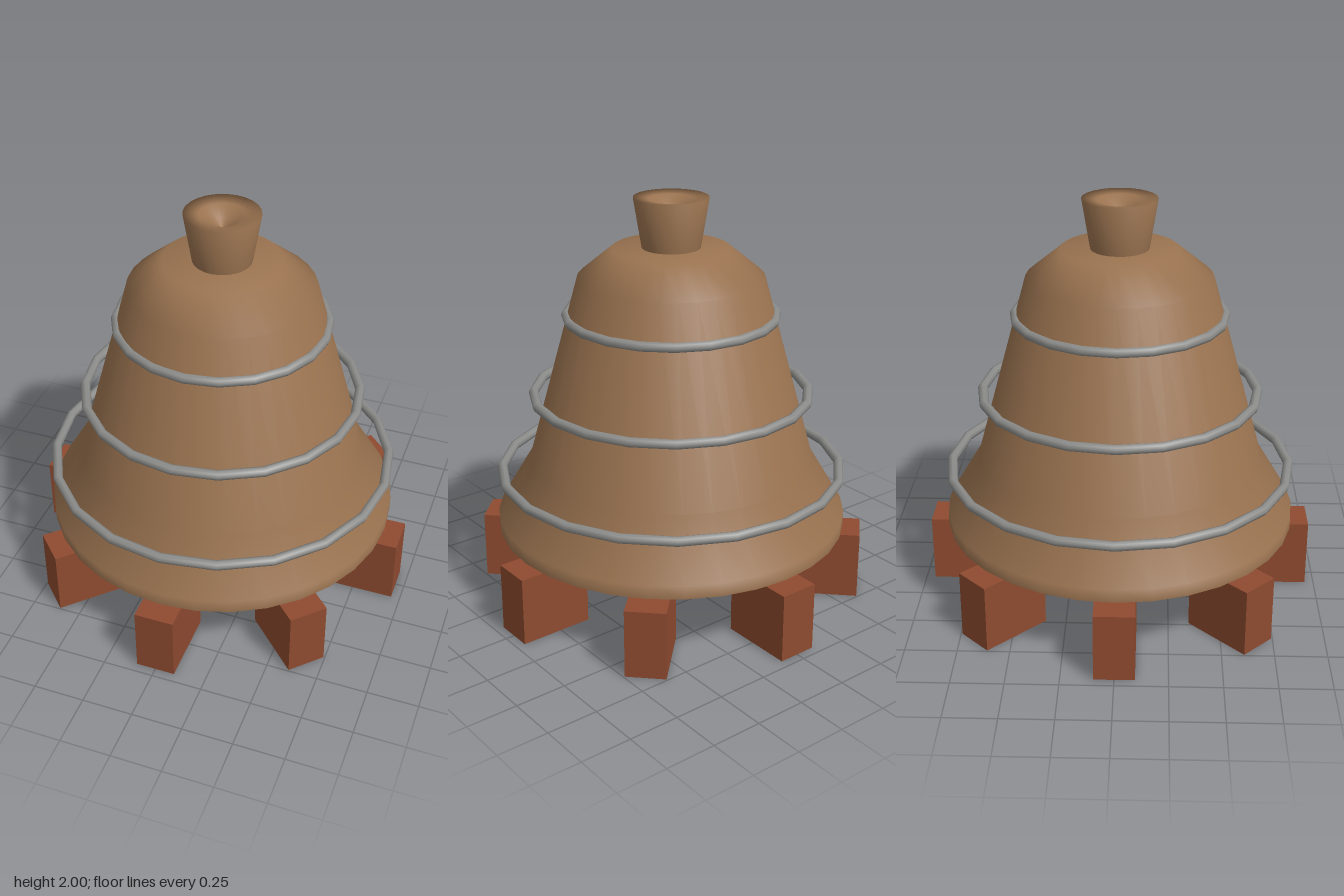
import * as THREE from 'three';

export function createModel() {
  const model = new THREE.Group();
  model.name = 'ballastedBell';

  const wood = new THREE.MeshStandardMaterial({ color: 0x9a7350, side: THREE.DoubleSide });
  wood.name = 'brown wood';
  const iron = new THREE.MeshStandardMaterial({ color: 0x8c8c8a });
  iron.name = 'grey iron';
  const brick = new THREE.MeshStandardMaterial({ color: 0x8f4b30 });
  brick.name = 'red brick';

  const add = (name, geometry, material, y = 0) => {
    const mesh = new THREE.Mesh(geometry, material);
    mesh.name = name;
    mesh.position.y = y;
    model.add(mesh);
    return mesh;
  };
  const lathe = (points, segments) =>
    new THREE.LatheGeometry(points.map(([r, y]) => new THREE.Vector2(r, y)), segments);

  // Hollow bell, open at the bottom
  add('bellBody', lathe([
    [0.87, 0.36], [0.87, 0.425], [0.705, 0.7], [0.45, 1.62], [0.28, 1.76], [0, 1.76],
  ], 32), wood);

  // Flared knob with a dished top
  add('topKnob', lathe([
    [0.14, 1.755], [0.18, 2], [0.11, 1.99], [0.05, 1.95], [0, 1.92],
  ], 24), wood);

  // Hoops around the body: outer radius and height
  const tube = 0.024;
  [[0.87, 0.64], [0.7, 1.035], [0.53, 1.43]].forEach(([radius, y]) => {
    const ring = new THREE.TorusGeometry(radius - tube, tube, 8, 20).rotateX(Math.PI / 2);
    add('hoop', ring, iron, y);
  });

  // Ballast blocks set radially below the rim
  const blockShape = new THREE.BoxGeometry(0.192, 0.34, 0.365).translate(0, 0.17, 0.773);
  for (let i = 0; i < 8; i++) {
    add('ballastBlock', blockShape, brick).rotation.y = (i * Math.PI) / 4;
  }

  return model;
}
